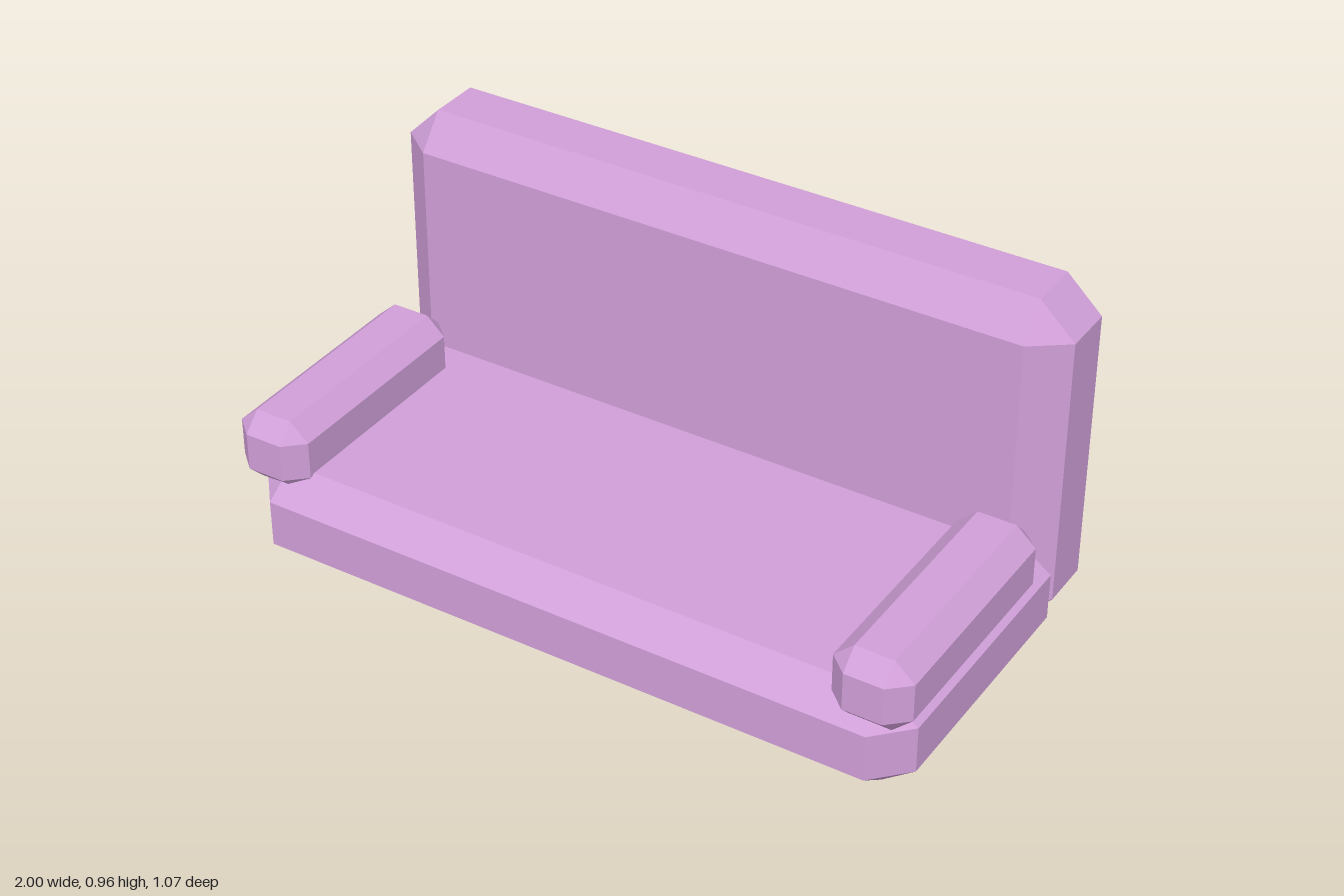
import * as THREE from 'three';
import { ConvexGeometry } from 'three/addons/geometries/ConvexGeometry.js';

const material = new THREE.MeshStandardMaterial({ color: 0xd09fd8, flatShading: true });

// Cushion with bevelled edges; each axis is [outer min, inner min, inner max, outer max]
function cushion(name, x, y, z) {
  const points = [];
  for (const i of [0, 1]) for (const j of [0, 1]) for (const k of [0, 1]) {
    const inner = [x[1 + i], y[1 + j], z[1 + k]];
    const outer = [x[3 * i], y[3 * j], z[3 * k]];
    // Each corner is cut by a triangle: push one axis out at a time
    for (let axis = 0; axis < 3; axis++) {
      const p = [...inner];
      p[axis] = outer[axis];
      points.push(new THREE.Vector3(...p));
    }
  }
  const mesh = new THREE.Mesh(new ConvexGeometry(points), material);
  mesh.name = name;
  return mesh;
}

export function createModel() {
  const sofa = new THREE.Group();
  sofa.name = 'sofa';

  // Tall back and low seat
  sofa.add(cushion('backrest',
    [-0.985, -0.89, 0.88, 0.98], [0, 0.093, 0.865, 0.96], [-0.533, -0.46, -0.312, -0.237]));
  sofa.add(cushion('seat',
    [-0.94, -0.86, 0.9, 0.99], [0.005, 0.072, 0.205, 0.27], [-0.32, -0.265, 0.435, 0.53]));

  // Armrests, sunk slightly into the seat; the right one sits a little further back
  const armY = [0.212, 0.263, 0.37, 0.42];
  sofa.add(cushion('leftArmrest',
    [0.78, 0.835, 0.943, 0.998], armY, [-0.19, -0.14, 0.482, 0.533]));
  sofa.add(cushion('rightArmrest',
    [-1, -0.945, -0.838, -0.784], armY, [-0.2, -0.15, 0.45, 0.5]));

  return sofa;
}
